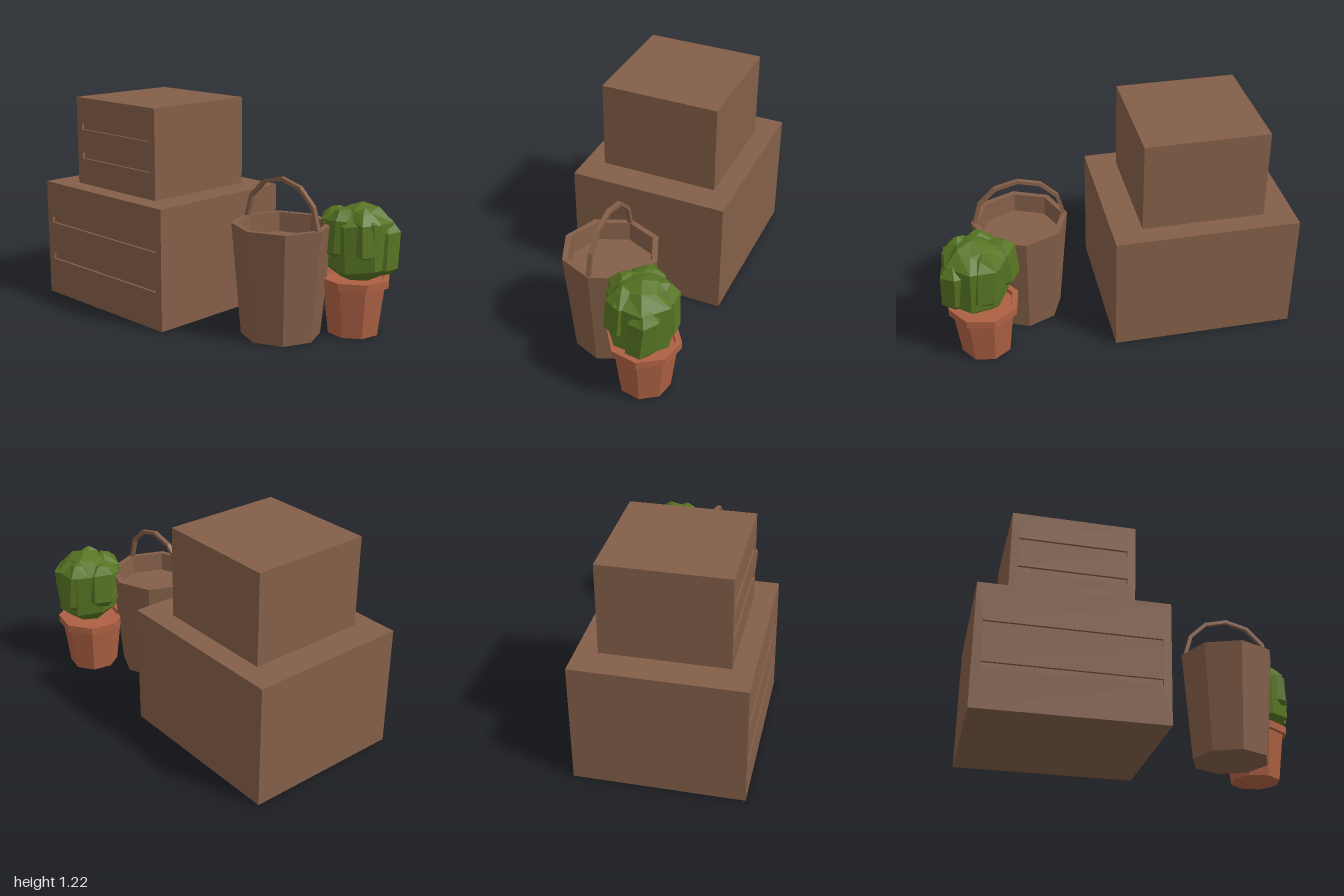
import * as THREE from 'three';

const wood = new THREE.MeshStandardMaterial({ color: 0x845f48 });
wood.name = 'brown wood';
const clay = new THREE.MeshStandardMaterial({ color: 0xae6143 });
clay.name = 'terracotta';
const leaf = new THREE.MeshStandardMaterial({ color: 0x577423 });
leaf.name = 'leaf green';

function add(parent, name, geometry, material, x = 0, y = 0, z = 0) {
  const mesh = new THREE.Mesh(geometry, material);
  mesh.name = name;
  mesh.position.set(x, y, z);
  parent.add(mesh);
  return mesh;
}

// Faceted solid of revolution; profile runs from the bottom up the outside
function faceted(profile, sides, start = 0, warp = null) {
  const lathe = new THREE.LatheGeometry(profile.map(p => new THREE.Vector2(p[0], p[1])), sides, start);
  if (warp) {
    const pos = lathe.attributes.position;
    const v = new THREE.Vector3();
    for (let i = 0; i < pos.count; i++) {
      warp(v.fromBufferAttribute(pos, i));
      pos.setXYZ(i, v.x, v.y, v.z);
    }
  }
  const flat = lathe.toNonIndexed();
  flat.computeVertexNormals();
  return flat;
}

function rectangle(Type, x0, y0, x1, y1) {
  return new Type([[x0, y0], [x1, y0], [x1, y1], [x0, y1]].map(p => new THREE.Vector2(p[0], p[1])));
}

// Crate with long horizontal grooves cut into its front
function crate(parent, name, x0, x1, y0, y1, z0, z1, grooves) {
  const group = new THREE.Group();
  group.name = name;
  const groove = 0.015;
  const depth = z1 - z0 - groove;
  add(group, name + 'Body', new THREE.BoxGeometry(x1 - x0, y1 - y0, depth), wood,
    (x0 + x1) / 2, (y0 + y1) / 2, z0 + depth / 2);
  const face = rectangle(THREE.Shape, x0, y0, x1, y1);
  for (const y of grooves) face.holes.push(rectangle(THREE.Path, x0 + 0.045, y, x1 - 0.045, y + 0.036));
  add(group, name + 'Front', new THREE.ExtrudeGeometry(face, { depth: groove, bevelEnabled: false }),
    wood, 0, 0, z1 - groove);
  parent.add(group);
}

function createBasket() {
  const basket = new THREE.Group();
  basket.name = 'basket';
  basket.position.set(0.505, 0, 0.025);
  add(basket, 'basketTub', faceted(
    [[0, 0], [0.22, 0], [0.275, 0.63], [0.242, 0.63], [0.233, 0.52], [0, 0.52]], 8), wood);

  // Arched handle, six straight segments
  const arc = (r, i) => new THREE.Vector2(r * Math.cos(i * Math.PI / 6), r * 0.965 * Math.sin(i * Math.PI / 6));
  const outline = [];
  for (let i = 0; i <= 6; i++) outline.push(arc(0.265, i));
  for (let i = 6; i >= 0; i--) outline.push(arc(0.244, i));
  add(basket, 'basketHandle', new THREE.ExtrudeGeometry(new THREE.Shape(outline),
    { depth: 0.025, bevelEnabled: false }), wood, 0, 0.628, -0.008);
  return basket;
}

function createPlant() {
  const plant = new THREE.Group();
  plant.name = 'pottedPlant';
  add(plant, 'pot', faceted(
    [[0, 0], [0.146, 0], [0.18, 0.28], [0.203, 0.28], [0.203, 0.325], [0.17, 0.325], [0.165, 0.3], [0, 0.3]],
    8, 12 * Math.PI / 180), clay, 0.765, 0, -0.29);

  // Overlapping faceted clumps: [x, z, radius, bottom, lower edge, upper edge, peak, sides]
  const clumps = [
    [0.79, -0.285, 0.188, 0.325, 0.39, 0.645, 0.745, 7],
    [0.905, -0.345, 0.092, 0.36, 0.4, 0.6, 0.66, 6],
    [0.665, -0.265, 0.108, 0.44, 0.48, 0.65, 0.705, 6],
    [0.755, -0.19, 0.1, 0.45, 0.48, 0.66, 0.725, 6],
    [0.88, -0.22, 0.095, 0.46, 0.49, 0.66, 0.72, 5],
    [0.755, -0.385, 0.1, 0.4, 0.44, 0.64, 0.72, 6],
  ];
  clumps.forEach(([x, z, r, y0, y1, y2, y3, sides], i) => {
    const warp = v => {
      const bend = Math.sin(31 * v.x + 23 * v.z + 2 * i);
      v.x += 0.01 * Math.sin(19 * v.y + i);
      v.z += 0.01 * Math.sin(15 * v.y + 2 * i);
      if (v.y > y0 + 0.01) v.y += 0.012 * bend;
    };
    add(plant, 'leafClump' + (i + 1), faceted(
      [[0, y0], [r * 0.55, y0], [r * 0.96, y1], [r, y2], [r * 0.5, y2 + (y3 - y2) * 0.65], [0, y3]],
      sides, i * 0.7 + 0.2, warp), leaf, x, 0, z);
  });
  return plant;
}

export function createModel() {
  const model = new THREE.Group();
  model.name = 'cratesBasketAndPlant';
  crate(model, 'lowerCrate', -1, 0.04, 0, 0.7, -0.44, 0.49, [0.219, 0.449]);
  crate(model, 'upperCrate', -0.828, -0.132, 0.7, 1.22, -0.32, 0.375, [0.855, 1.03]);
  model.add(createBasket(), createPlant());
  return model;
}
